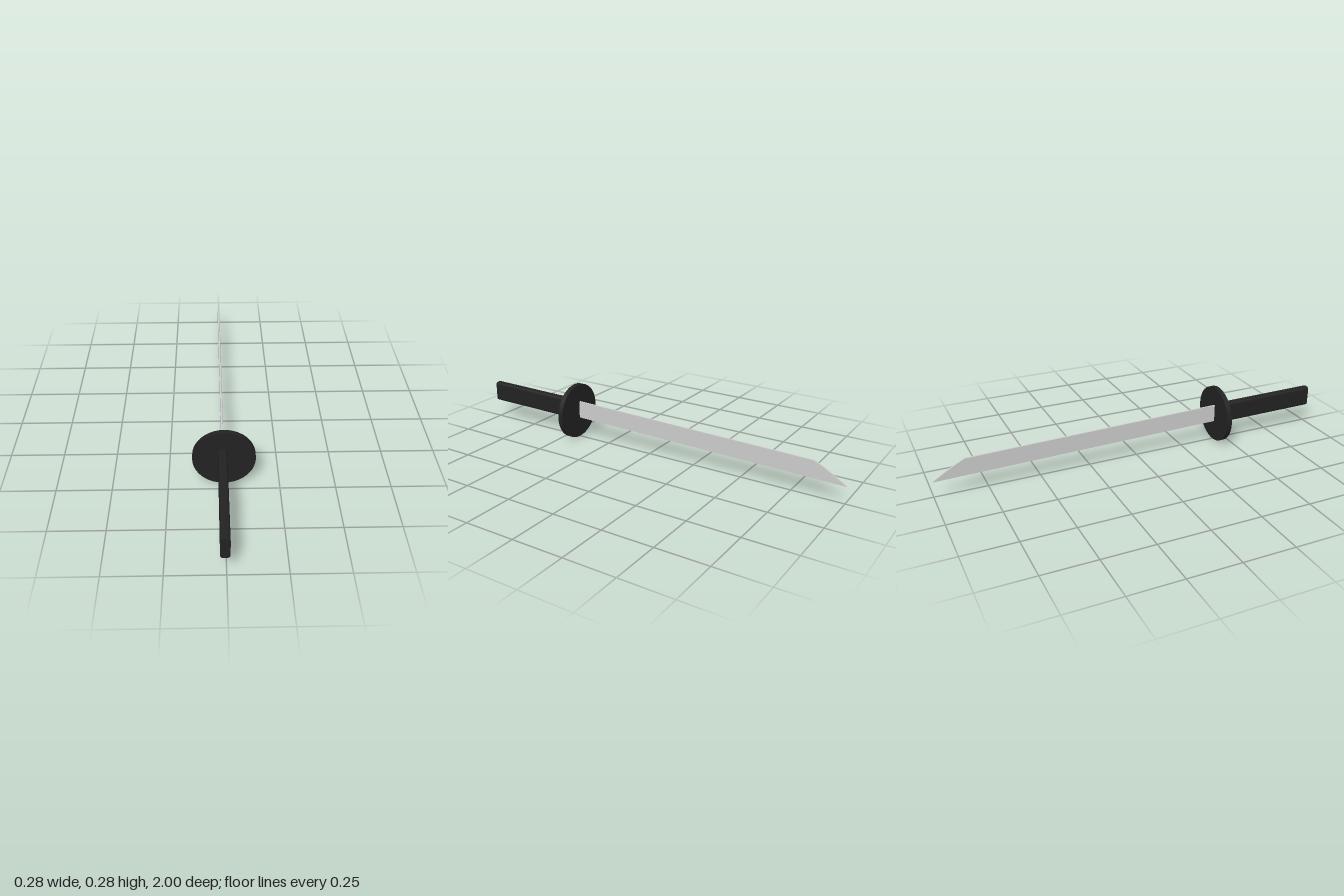
import * as THREE from 'three';

const dark = new THREE.MeshStandardMaterial({ color: 0x222222 });
const steel = new THREE.MeshStandardMaterial({ color: 0xcccccc });

function addPart(group, name, geometry, material) {
  const mesh = new THREE.Mesh(geometry, material);
  mesh.name = name;
  group.add(mesh);
  return mesh;
}

// Rounded rectangle centred on the origin
function roundedRect(w, h, r) {
  const s = new THREE.Shape(), x = w / 2, y = h / 2;
  s.moveTo(-x + r, -y);
  s.lineTo(x - r, -y).quadraticCurveTo(x, -y, x, -y + r);
  s.lineTo(x, y - r).quadraticCurveTo(x, y, x - r, y);
  s.lineTo(-x + r, y).quadraticCurveTo(-x, y, -x, y - r);
  s.lineTo(-x, -y + r).quadraticCurveTo(-x, -y, -x + r, -y);
  return s;
}

export function createModel() {
  const group = new THREE.Group();
  group.name = 'sword';
  const axisX = -0.006; // blade and grip sit slightly off the guard's centre

  // Grip: rounded bar with a very slight upward tilt toward its end
  const gripStart = 0.45, gripLength = 0.55;
  const gripGeo = new THREE.ExtrudeGeometry(roundedRect(0.041, 0.103, 0.015), {
    depth: gripLength, bevelEnabled: false, curveSegments: 6,
  });
  const pos = gripGeo.attributes.position;
  for (let i = 0; i < pos.count; i++) {
    pos.setY(i, pos.getY(i) + 0.004 * pos.getZ(i) / gripLength);
  }
  gripGeo.computeVertexNormals();
  addPart(group, 'grip', gripGeo, dark).position.set(axisX, 0.144, gripStart);

  // Guard: round disc facing along z
  const guardGeo = new THREE.CylinderGeometry(0.141, 0.141, 0.025, 40);
  guardGeo.rotateX(Math.PI / 2);
  addPart(group, 'guard', guardGeo, dark).position.set(0, 0.141, 0.447);

  // Blade: side outline (-z, y) extruded across its thin width
  const thickness = 0.008;
  const outline = new THREE.Shape([
    [-0.45, 0.103], [1, 0.08], [0.93, 0.123], [0.885, 0.148], [0.845, 0.167], [-0.45, 0.191],
  ].map(([x, y]) => new THREE.Vector2(x, y)));
  const bladeGeo = new THREE.ExtrudeGeometry(outline, { depth: thickness, bevelEnabled: false });
  bladeGeo.translate(0, 0, -thickness / 2);
  bladeGeo.rotateY(Math.PI / 2);
  addPart(group, 'blade', bladeGeo, steel).position.x = axisX;

  return group;
}
